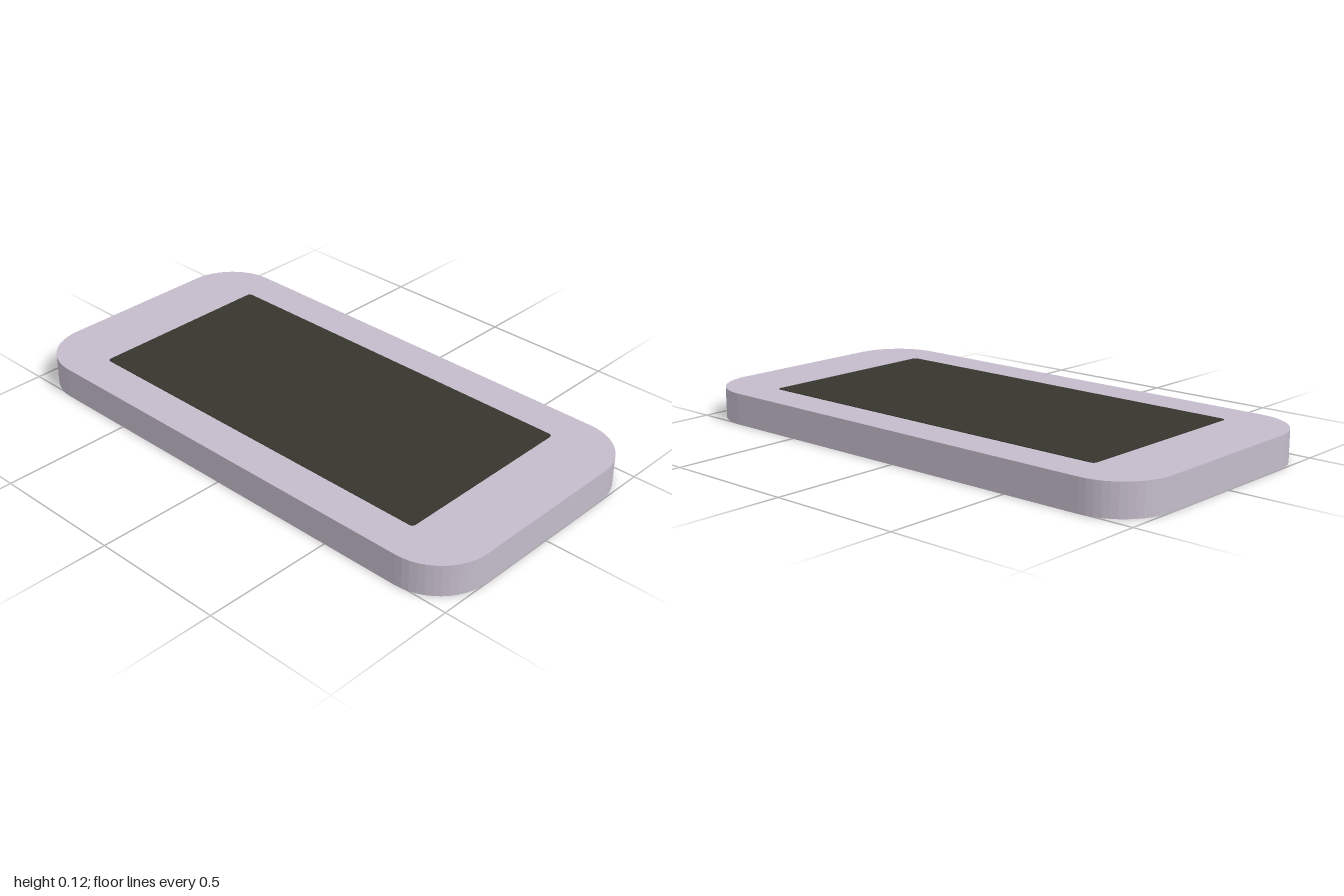
import * as THREE from 'three';

// Rounded rectangle outline centred on the origin
function roundedRect(w, d, r) {
  const x = w / 2, y = d / 2, s = new THREE.Shape();
  s.moveTo(x, -y + r);
  s.lineTo(x, y - r);
  s.absarc(x - r, y - r, r, 0, Math.PI / 2);
  s.absarc(-x + r, y - r, r, Math.PI / 2, Math.PI);
  s.absarc(-x + r, -y + r, r, Math.PI, Math.PI * 1.5);
  s.absarc(x - r, -y + r, r, Math.PI * 1.5, Math.PI * 2);
  return s;
}

// Flat slab lying on y = bottom
function slab(name, w, d, r, bottom, height, curveSegments, material) {
  const geometry = new THREE.ExtrudeGeometry(roundedRect(w, d, r), {
    depth: height, bevelEnabled: false, curveSegments,
  });
  geometry.rotateX(-Math.PI / 2);
  geometry.translate(0, bottom, 0);
  const mesh = new THREE.Mesh(geometry, material);
  mesh.name = name;
  return mesh;
}

export function createModel() {
  const casing = new THREE.MeshStandardMaterial({ color: 0xc4bccb });
  casing.name = 'pale lilac grey';
  const glass = new THREE.MeshStandardMaterial({ color: 0x36352d });
  glass.name = 'dark olive';

  const model = new THREE.Group();
  model.name = 'handheldDevice';
  // Casing with rounded corners
  model.add(slab('casing', 1.014, 2, 0.2, 0, 0.117, 6, casing));
  // Thin screen plate set into the top face
  model.add(slab('screen', 0.725, 1.49, 0.012, 0.115, 0.004, 1, glass));
  return model;
}
